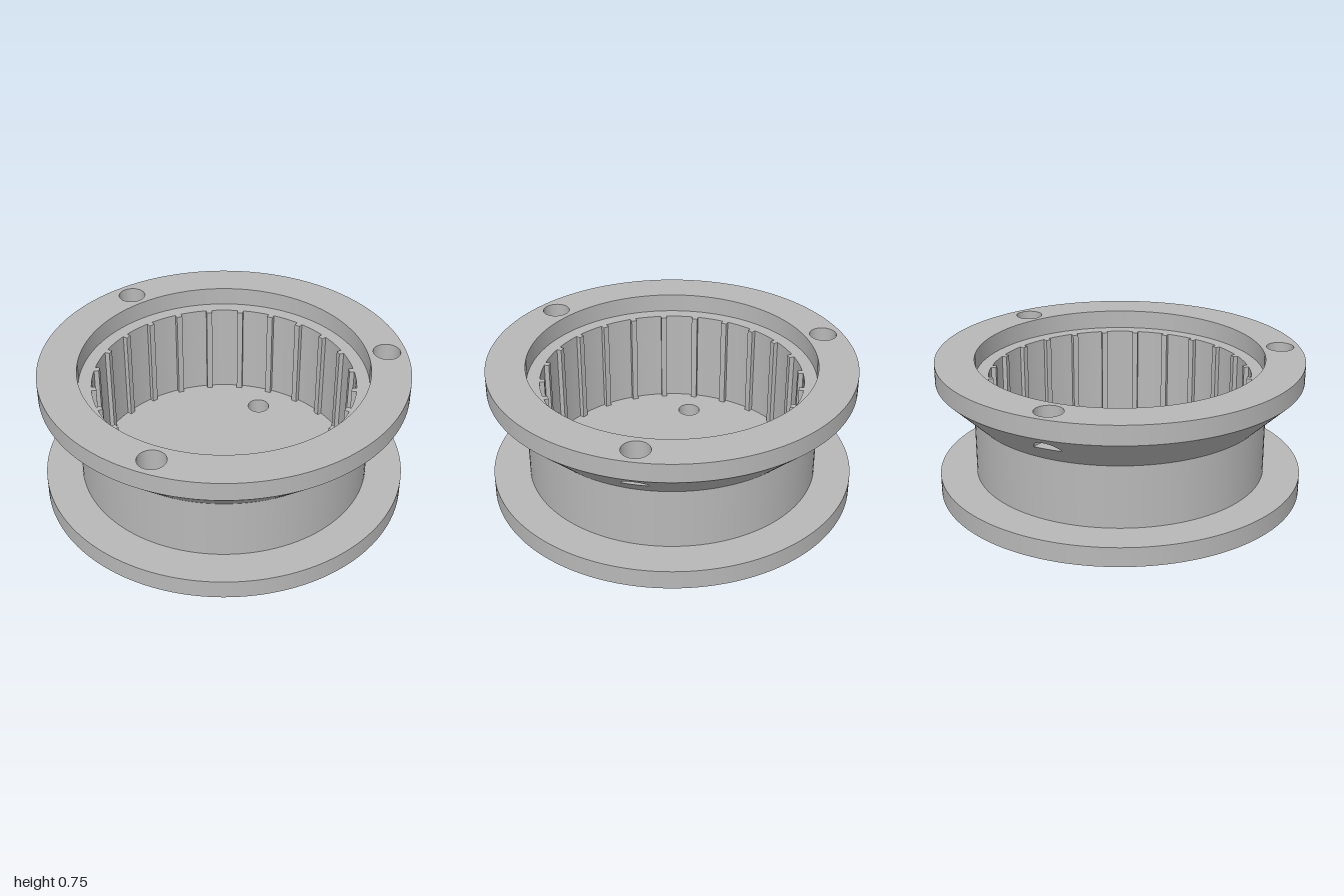
import * as THREE from 'three';
import { toCreasedNormals } from 'three/addons/utils/BufferGeometryUtils.js';

// Heights and radii
const FLOOR = 0.107, CONE_Y = 0.45, RIM_Y = 0.645, TOP = 0.75;
const CORE_R = 0.8, RECESS_R = 0.787, BORE_R = 0.716, RIB_R = 0.69;
const SCREW_R = 0.075, SCREW_C = 0.893, SCREW_Y = 0.557;
const SLOPE = (RIM_Y - CONE_Y) / (1 - CORE_R);
const coneY = r => CONE_Y + (r - CORE_R) * SLOPE;
const CUT_R = CORE_R + (SCREW_Y - CONE_Y) / SLOPE; // where the screw pocket floor meets the cone
const screwAngles = [Math.PI / 3, Math.PI, -Math.PI / 3];
const boltAngles = [0, Math.PI * 2 / 3, -Math.PI * 2 / 3];

function circle(Kind, r, x = 0, y = 0) {
  const p = new Kind();
  p.absarc(x, y, r, 0, Math.PI * 2, false);
  return p;
}

// Disc with holes, standing between two heights
function slab(holes, outerR, y0, y1) {
  const shape = circle(THREE.Shape, outerR);
  shape.holes.push(...holes);
  const geo = new THREE.ExtrudeGeometry(shape, { depth: y1 - y0, bevelEnabled: false, curveSegments: 96 });
  geo.rotateX(-Math.PI / 2).translate(0, y0, 0);
  return toCreasedNormals(geo, 0.4);
}

function holesAt(angles, c, r) {
  return angles.map(a => circle(THREE.Path, r, c * Math.cos(a), c * Math.sin(a)));
}

function band(r0, y0, r1, y1, segments) {
  return new THREE.LatheGeometry([new THREE.Vector2(r0, y0), new THREE.Vector2(r1, y1)], segments);
}

// Move every vertex of a geometry by a rule
function moveVertices(geo, rule) {
  const p = geo.attributes.position, v = new THREE.Vector3();
  for (let i = 0; i < p.count; i++) {
    rule(v.fromBufferAttribute(p, i));
    p.setXYZ(i, v.x, v.y, v.z);
  }
  return geo;
}

// Bore outline with 24 inward ribs
function ribbedBore() {
  const pts = [], n = 24, step = Math.PI * 2 / n, half = 0.016 / RIB_R;
  const add = (r, a) => pts.push(new THREE.Vector2(r * Math.cos(a), r * Math.sin(a)));
  for (let i = 0; i < n; i++) {
    const a = i * step;
    add(BORE_R, a - half);
    add(RIB_R, a - half);
    add(RIB_R, a + half);
    add(BORE_R, a + half);
    for (let k = 1; k < 6; k++) add(BORE_R, a + half + (step - 2 * half) * k / 6);
  }
  return new THREE.Path(pts);
}

export function createModel() {
  const group = new THREE.Group();
  const grey = new THREE.MeshStandardMaterial({ color: 0xb8b8b8 });
  grey.name = 'plain grey';
  const add = (name, geo) => {
    const mesh = new THREE.Mesh(geo, grey);
    mesh.name = name;
    group.add(mesh);
  };

  // Base flange with three through holes, also the floor of the bore
  add('baseFlange', slab(holesAt(boltAngles, 0.535, 0.062), 1, 0, FLOOR));

  // Core drum and ribbed sleeve
  add('coreWall', band(CORE_R, FLOOR, CORE_R, CONE_Y, 128));
  add('ribbedSleeve', slab([ribbedBore()], RECESS_R, FLOOR, RIM_Y));

  // Top rim with recess and screw holes
  add('topRim', slab([circle(THREE.Path, RECESS_R), ...holesAt(screwAngles, SCREW_C, SCREW_R)], 1, RIM_Y, TOP));

  // Cone under the rim; its upper band is cut back where the screw holes break out
  add('lowerCone', band(CORE_R, CONE_Y, CUT_R, SCREW_Y, 720));
  add('upperCone', moveVertices(band(CUT_R, SCREW_Y, 1, RIM_Y, 720), v => {
    if (v.y > SCREW_Y + 0.01) return;
    const a = Math.atan2(v.z, v.x);
    let r = CUT_R;
    for (const s of screwAngles) {
      const off = SCREW_C * Math.sin(a - s), along = SCREW_C * Math.cos(a - s);
      if (along > 0 && Math.abs(off) < SCREW_R) r = Math.max(r, along + Math.sqrt(SCREW_R ** 2 - off ** 2));
    }
    v.set(r * Math.cos(a), coneY(r), r * Math.sin(a));
  }));

  // Screw pockets: wall trimmed by the cone, and a flat floor that ends at it
  for (const a of screwAngles) {
    const x = SCREW_C * Math.cos(a), z = SCREW_C * Math.sin(a);
    const wall = band(SCREW_R, RIM_Y, SCREW_R, SCREW_Y, 96).translate(x, 0, z);
    add('screwPocketWall', moveVertices(wall, v => {
      if (v.y < RIM_Y - 0.01) v.y = Math.max(SCREW_Y, coneY(Math.hypot(v.x, v.z)));
    }));
    const floor = new THREE.CircleGeometry(SCREW_R, 96).rotateX(-Math.PI / 2).translate(x, SCREW_Y, z);
    add('screwPocketFloor', moveVertices(floor, v => {
      const k = Math.min(1, CUT_R / Math.hypot(v.x, v.z));
      v.x *= k;
      v.z *= k;
    }));
  }
  return group;
}
